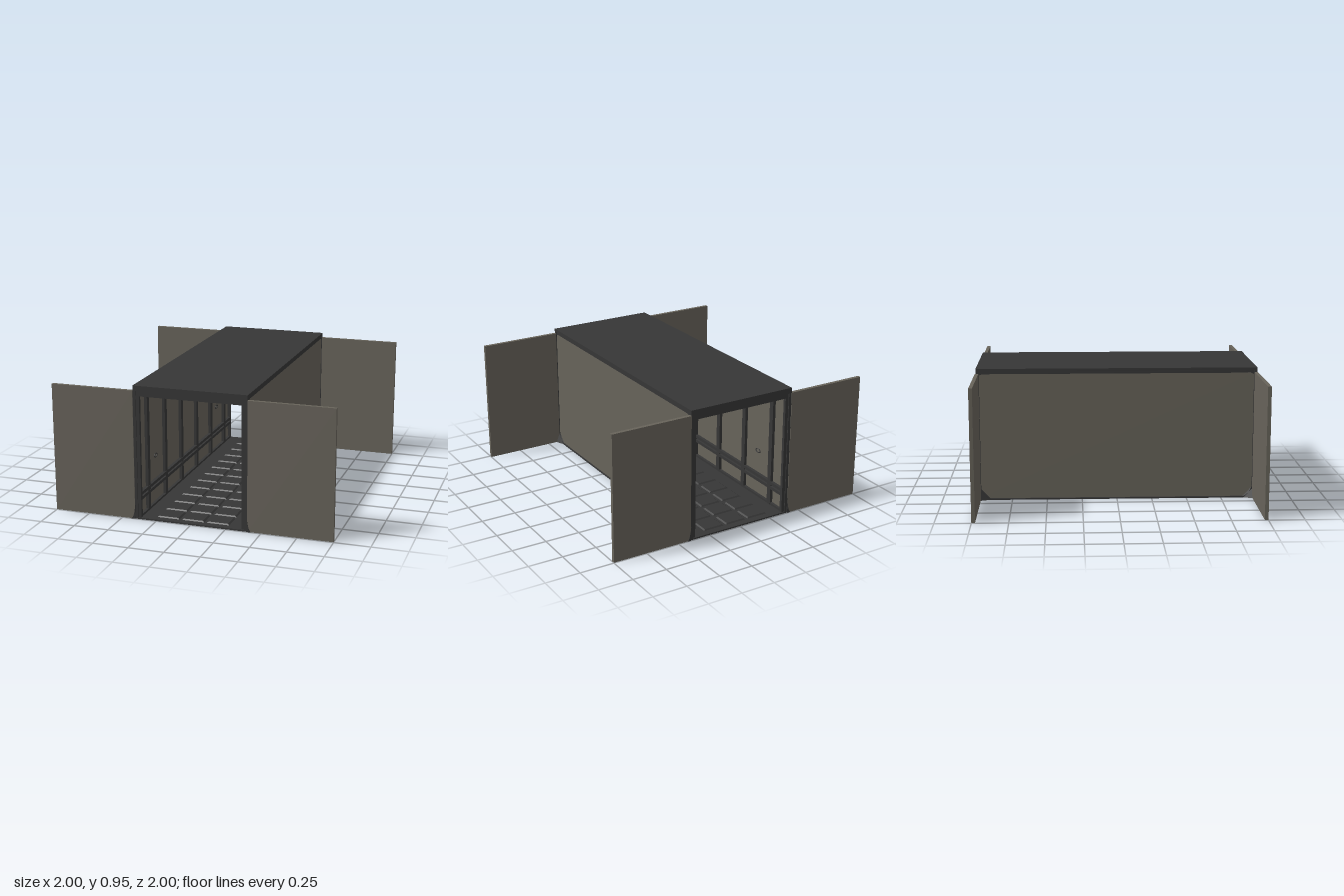
import * as THREE from 'three';
import { ConvexGeometry } from 'three/addons/geometries/ConvexGeometry.js';

export function createModel() {
  const model = new THREE.Group();
  model.name = 'openContainer';
  const mat = (name, color) => {
    const m = new THREE.MeshStandardMaterial({ color });
    m.name = name;
    return m;
  };
  const frame = mat('dark frame', 0x363636);
  const panel = mat('taupe panel', 0x67635a);

  const add = (name, geometry, material) => {
    const mesh = new THREE.Mesh(geometry, material);
    mesh.name = name;
    model.add(mesh);
    return mesh;
  };
  // Box given by its limits on each axis
  const box = (name, material, x0, x1, y0, y1, z0, z1) => {
    const mesh = add(name, new THREE.BoxGeometry(Math.abs(x1 - x0), y1 - y0, Math.abs(z1 - z0)), material);
    mesh.position.set((x0 + x1) / 2, (y0 + y1) / 2, (z0 + z1) / 2);
    return mesh;
  };
  // Concave corner plate, filling the corner at the origin
  const fillet = (w, h, depth) => {
    const s = new THREE.Shape();
    s.moveTo(0, 0);
    s.lineTo(w, 0);
    s.quadraticCurveTo(w * 0.2, h * 0.2, 0, h);
    s.closePath();
    const g = new THREE.ExtrudeGeometry(s, { depth, bevelEnabled: false, curveSegments: 6 });
    return g.translate(0, 0, -depth / 2);
  };

  // Roof and floor
  box('roof', frame, -0.405, 0.405, 0.93, 0.95, -0.995, 0.995);
  box('roofUnderside', frame, -0.398, 0.398, 0.908, 0.93, -0.99, 0.99);
  box('floor', frame, -0.405, 0.405, 0, 0.01, -0.995, 0.995);

  // Raised floor plates with tapered edges
  const plate = new THREE.CylinderGeometry(0.62, Math.SQRT1_2, 1, 4, 1)
    .rotateY(Math.PI / 4).toNonIndexed();
  plate.computeVertexNormals();
  for (let row = 0; row < 12; row++) {
    for (const x of [-0.18, 0, 0.18]) {
      const mesh = add('floorPlate', plate, frame);
      mesh.scale.set(0.16, 0.008, 0.13);
      mesh.position.set(x, 0.014, (row - 5.5) * 0.16);
    }
  }

  // Ceiling beams with a stepped section
  for (const z of [-0.8, -0.27, 0.27, 0.8]) {
    box('ceilingBeam', frame, -0.385, 0.385, 0.893, 0.909, z - 0.035, z + 0.035);
    box('ceilingBeamFlange', frame, -0.385, 0.385, 0.878, 0.893, z - 0.018, z + 0.018);
  }

  for (const s of [-1, 1]) {
    // Side wall, top rail and bottom sill
    box('sideWall', panel, s * 0.385, s * 0.4, 0.012, 0.914, -0.975, 0.975);
    box('topRail', frame, s * 0.37, s * 0.402, 0.912, 0.93, -0.99, 0.99);
    box('bottomSill', frame, s * 0.365, s * 0.387, 0.01, 0.025, -0.97, 0.97);

    // Inner ribs and the paired guard rails
    for (let i = 0; i < 6; i++) {
      const z = (i - 2.5) * 0.33;
      box('wallRib', frame, s * 0.364, s * 0.386, 0.01, 0.908, z - 0.02, z + 0.02);
    }
    for (const y of [0.145, 0.18]) {
      box('guardRail', frame, s * 0.362, s * 0.386, y - 0.011, y + 0.011, -0.97, 0.97);
    }

    for (const e of [-1, 1]) {
      // Lashing loop on the inner wall
      const ring = add('lashingLoop', new THREE.TorusGeometry(0.018, 0.004, 6, 12), frame);
      ring.rotation.y = Math.PI / 2;
      ring.scale.set(1.4, 0.75, 1);
      ring.position.set(s * 0.38, 0.36, e * 0.66);

      // Doorway post in two steps
      box('doorPost', frame, s * 0.385, s * 0.405, 0.005, 0.93, e * 0.972, e * 0.995);
      box('doorPostInner', frame, s * 0.362, s * 0.386, 0.005, 0.915, e * 0.965, e * 0.988);

      // Door swung wide open
      box('door', panel, s * 0.405, s, 0.002, 0.915, e * 0.975, e);

      // Hinge corner: fillets on wall and door with a wedge between
      const wallFillet = add('wallCorner', fillet(0.085, 0.1, 0.008), frame);
      wallFillet.rotation.y = e * Math.PI / 2;
      wallFillet.position.set(s * 0.402, 0.002, e * 0.976);
      const doorFillet = add('doorCorner', fillet(0.028, 0.1, 0.03), frame);
      if (s < 0) doorFillet.rotation.y = Math.PI;
      doorFillet.position.set(s * 0.403, 0.001, e * 0.987);
      add('cornerWedge', new ConvexGeometry([
        [0.4, 0.001, 0.976], [0.432, 0.001, 0.976], [0.4, 0.001, 0.9],
        [0.4, 0.085, 0.976], [0.415, 0.022, 0.955],
      ].map(([x, y, z]) => new THREE.Vector3(s * x, y, e * z))), frame);

      // Small corner gusset at the top of the wall
      const gusset = add('topGusset', fillet(0.05, 0.018, 0.006), frame);
      gusset.rotation.set(0, e * Math.PI / 2, 0);
      gusset.scale.y = -1;
      gusset.position.set(s * 0.401, 0.915, e * 0.976);
    }
  }

  // Header above each doorway
  for (const e of [-1, 1]) {
    box('doorHeader', frame, -0.39, 0.39, 0.912, 0.931, e * 0.972, e * 0.995);
    box('doorHeaderInner', frame, -0.385, 0.385, 0.876, 0.912, e * 0.965, e * 0.988);
  }
  return model;
}
